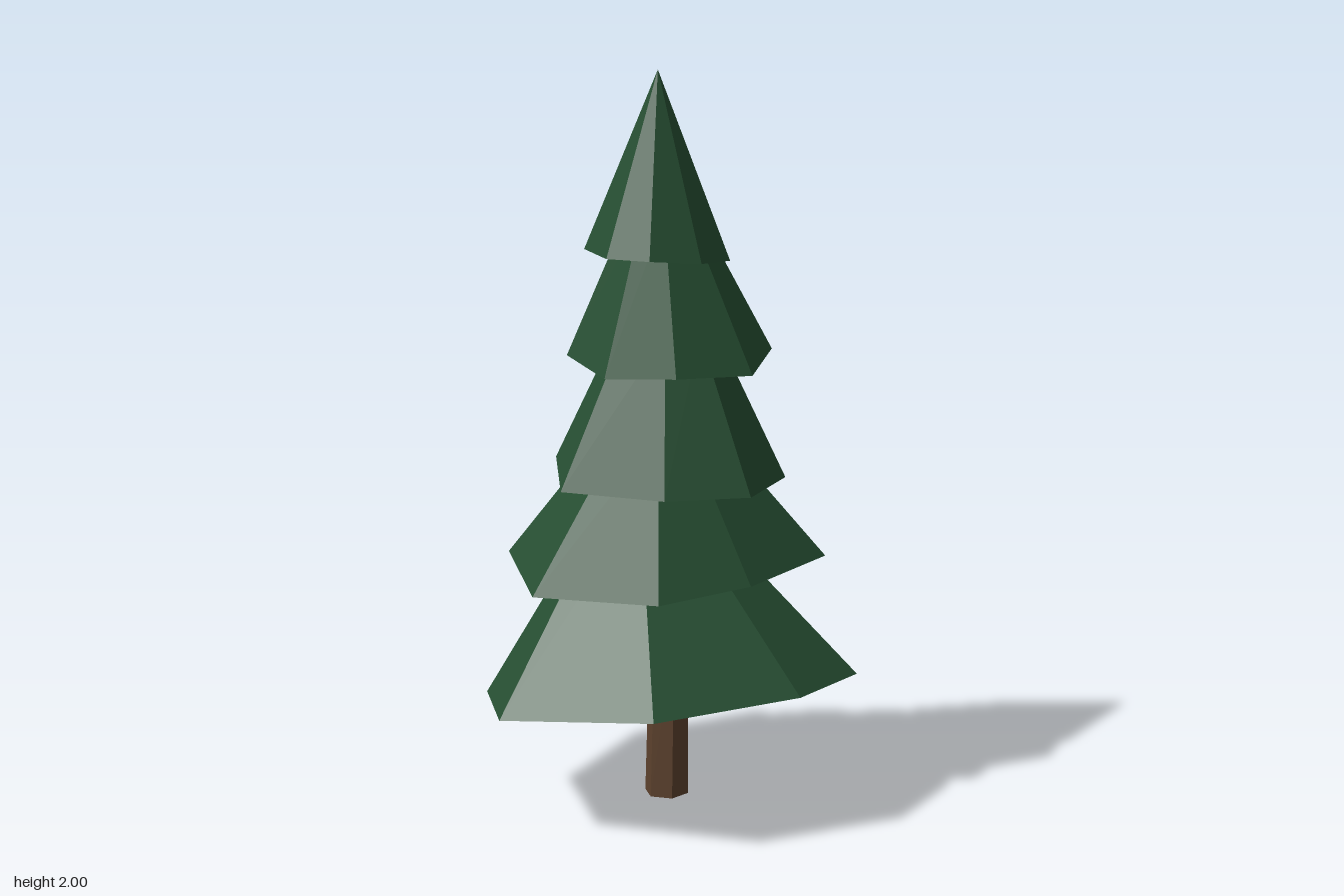
import * as THREE from 'three';

const needles = new THREE.MeshStandardMaterial({ color: 0x264e32, flatShading: true });
needles.name = 'pineGreen';
const bark = new THREE.MeshStandardMaterial({ color: 0x5c412d, flatShading: true });
bark.name = 'barkBrown';

// Each tier: uneven eight-sided rim (back, then round by the left to the front),
// the centre of its top and how far the rim shrinks there.
const tiers = [
  {
    name: 'bottomBranches', top: [-0.08, 0.84, 0], shrink: 0.23,
    rim: [[-0.01, 0.295, -0.555], [0.415, 0.345, -0.33], [0.51, 0.375, 0.08], [0.365, 0.39, 0.35],
      [0, 0.375, 0.55], [-0.415, 0.335, 0.447], [-0.515, 0.295, 0.085], [-0.36, 0.29, -0.32]],
  },
  {
    name: 'lowerBranches', top: [-0.03, 1.05, 0.05], shrink: 0.3,
    rim: [[-0.02, 0.637, -0.438], [0.32, 0.594, -0.35], [0.418, 0.69, 0.018], [0.23, 0.67, 0.29],
      [0, 0.647, 0.42], [-0.353, 0.62, 0.268], [-0.468, 0.67, -0.03], [-0.303, 0.65, -0.34]],
  },
  {
    name: 'middleBranches', top: [-0.02, 1.32, 0.02], shrink: 0.4,
    rim: [[-0.038, 0.94, -0.306], [0.197, 0.91, -0.22], [0.305, 0.9, -0.018], [0.226, 0.9, 0.25],
      [0.005, 0.9, 0.32], [-0.28, 0.9, 0.23], [-0.33, 0.945, -0.022], [-0.274, 0.94, -0.26]],
  },
  {
    name: 'upperBranches', top: [-0.02, 1.63, 0.03], shrink: 0.32,
    rim: [[0.005, 1.23, -0.25], [0.22, 1.24, -0.15], [0.265, 1.257, -0.01], [0.225, 1.215, 0.2],
      [0.035, 1.22, 0.312], [-0.165, 1.2, 0.2], [-0.29, 1.236, 0.026], [-0.174, 1.24, -0.19]],
  },
  {
    name: 'treetop', top: [-0.04, 2, 0.03], shrink: 0,
    rim: [[-0.055, 1.505, -0.163], [0.1, 1.55, -0.13], [0.153, 1.497, 0.024], [0.09, 1.505, 0.19],
      [-0.04, 1.515, 0.247], [-0.16, 1.515, 0.185], [-0.243, 1.523, 0.006], [-0.2, 1.52, -0.123]],
  },
];

// Tapered skirt of flat faces with a closed underside
function branchTier({ name, top, shrink, rim }) {
  const low = rim.map((p) => new THREE.Vector3(...p));
  const n = low.length;
  const base = new THREE.Vector3();
  low.forEach((p) => base.addScaledVector(p, 1 / n));
  const tip = new THREE.Vector3(...top);
  const high = low.map((p) => p.clone().sub(base).multiplyScalar(shrink).add(tip));
  const points = [];
  for (let i = 0; i < n; i++) {
    const j = (i + 1) % n;
    points.push(low[j], low[i], high[i]);
    if (shrink > 0) points.push(low[j], high[i], high[j], tip, high[j], high[i]);
    points.push(base, low[i], low[j]);
  }
  const geometry = new THREE.BufferGeometry().setFromPoints(points);
  geometry.computeVertexNormals();
  const mesh = new THREE.Mesh(geometry, needles);
  mesh.name = name;
  return mesh;
}

export function createModel() {
  const tree = new THREE.Group();
  tree.name = 'pineTree';

  // Slightly leaning six-sided trunk
  const height = 0.45;
  const geometry = new THREE.CylinderGeometry(0.056, 0.062, height, 6);
  geometry.rotateY(0.35).translate(0, height / 2, 0);
  const pos = geometry.attributes.position;
  for (let i = 0; i < pos.count; i++) {
    const y = pos.getY(i);
    pos.setXYZ(i, pos.getX(i) - 0.018 + 0.012 * y, y, pos.getZ(i) + 0.032 - 0.04 * y);
  }
  geometry.computeVertexNormals();
  const trunk = new THREE.Mesh(geometry, bark);
  trunk.name = 'trunk';
  tree.add(trunk);

  tiers.forEach((tier) => tree.add(branchTier(tier)));
  return tree;
}
